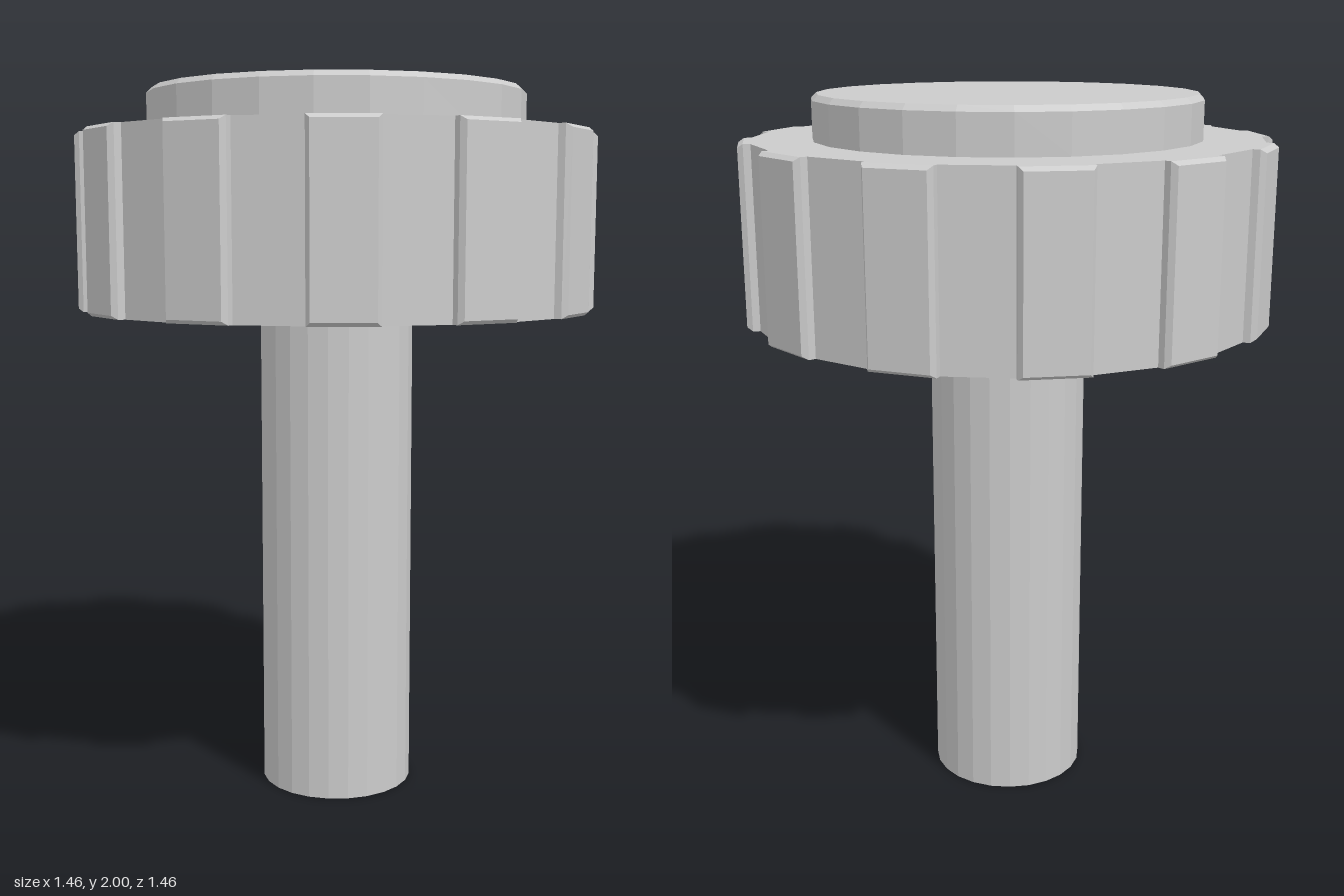
import * as THREE from 'three';

const SIDES = 24;
const KNOB_R = 0.695, KNOB_Y0 = 1.385, KNOB_Y1 = 1.88;

export function createModel() {
  const model = new THREE.Group();
  model.name = 'thumbScrew';
  const material = new THREE.MeshStandardMaterial({ color: 0xcccccc, flatShading: true });

  const add = (name, geometry, parent = model) => {
    const mesh = new THREE.Mesh(geometry, material);
    mesh.name = name;
    parent.add(mesh);
    return mesh;
  };
  const lathe = (points) =>
    new THREE.LatheGeometry(points.map(([r, y]) => new THREE.Vector2(r, y)), SIDES);

  // Shaft
  add('shaft', lathe([[0, 0], [0.218, 0], [0.218, KNOB_Y0 + 0.01]]));

  // Knob body
  add('knobBody', lathe([[0, KNOB_Y0], [KNOB_R, KNOB_Y0], [KNOB_R, KNOB_Y1], [0, KNOB_Y1]]));

  // Raised cap with a narrow chamfer
  add('cap', lathe([[0.53, KNOB_Y1], [0.53, 1.985], [0.515, 2], [0, 2]]));

  // Chamfered grip pads on every other knob facet
  const grips = new THREE.Group();
  grips.name = 'gripPads';
  model.add(grips);
  const halfW = KNOB_R * Math.sin(Math.PI / SIDES);
  const halfH = (KNOB_Y1 - KNOB_Y0) / 2;
  const apothem = KNOB_R * Math.cos(Math.PI / SIDES);
  const outline = new THREE.Shape([
    new THREE.Vector2(-halfW, -halfH), new THREE.Vector2(halfW, -halfH),
    new THREE.Vector2(halfW, halfH), new THREE.Vector2(-halfW, halfH),
  ]);
  const padGeometry = new THREE.ExtrudeGeometry(outline, {
    depth: 0.02, bevelEnabled: true, bevelSegments: 1,
    bevelThickness: 0.015, bevelSize: 0.01, bevelOffset: -0.01,
  });
  padGeometry.translate(0, (KNOB_Y0 + KNOB_Y1) / 2, apothem);
  for (let i = 0; i < SIDES / 2; i++) {
    const pad = add('gripPad', padGeometry, grips);
    pad.rotation.y = Math.PI / 2 - (2 * i + 0.5) * (2 * Math.PI / SIDES);
  }

  return model;
}
